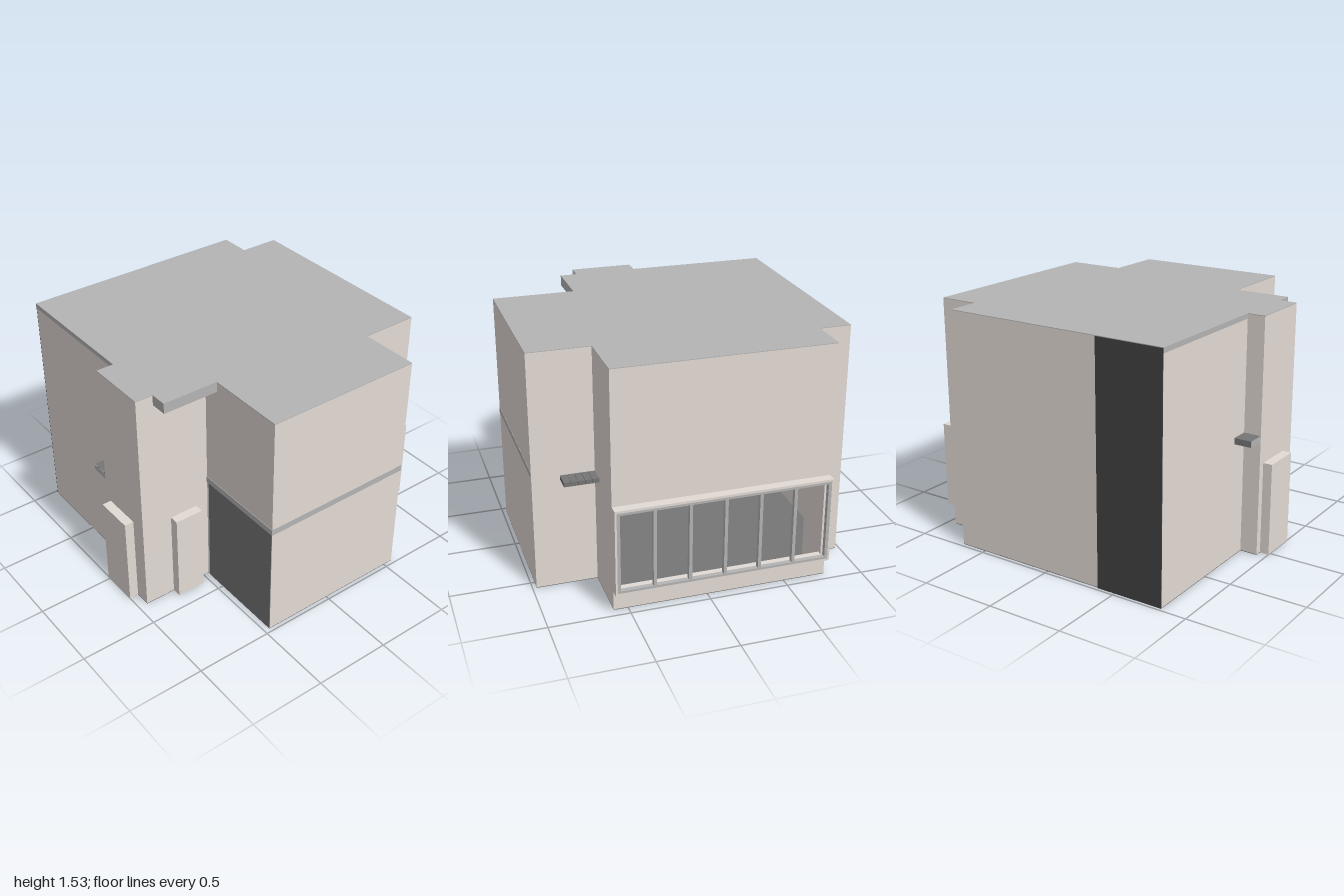
import * as THREE from 'three';

const mat = (color) => new THREE.MeshStandardMaterial({ color });
const H = 1.535, T = 0.03, CAP = 0.004;

// Plan of the house as [x, z], starting at the front corner on the -x side
const plan = [
  [-0.975, 0.825], [-0.065, 0.825], [-0.065, 0.94], [0.34, 0.94], [0.34, 0.46], [0.975, 0.46],
  [0.975, -0.565], [0.59, -0.565], [0.59, -0.94], [-0.77, -0.94], [-0.77, -0.68], [-0.975, -0.68],
];

export function createModel() {
  const house = new THREE.Group();
  house.name = 'house';
  const wall = mat(0xe2dad4), grey = mat(0xb4b4b4), dark = mat(0x767676), black = mat(0x424242);

  const box = (name, m, x0, x1, y0, y1, z0, z1) => {
    const mesh = new THREE.Mesh(new THREE.BoxGeometry(x1 - x0, y1 - y0, z1 - z0), m);
    mesh.position.set((x0 + x1) / 2, (y0 + y1) / 2, (z0 + z1) / 2);
    mesh.name = name;
    house.add(mesh);
  };

  // Horizontal slab following the plan, optionally drawn in a little
  const slab = (name, m, y0, y1, scale = 1) => {
    const shape = new THREE.Shape(plan.map(([x, z]) => new THREE.Vector2(x * scale, -z * scale)));
    const geo = new THREE.ExtrudeGeometry(shape, { depth: y1 - y0, bevelEnabled: false });
    geo.rotateX(-Math.PI / 2);
    const mesh = new THREE.Mesh(geo, m);
    mesh.position.y = y0;
    mesh.name = name;
    house.add(mesh);
  };

  slab('groundFloor', dark, 0, CAP);
  slab('upperFloor', grey, 0.75, 0.79, 0.99);
  slab('roof', grey, H - CAP, H);

  // Outer walls, one per plan edge; the back wall is open behind the bay window
  plan.forEach(([ax, az], i) => {
    const [bx, bz] = plan[(i + 1) % plan.length];
    const len = Math.hypot(bx - ax, bz - az);
    const nx = ((bz - az) / len) * T, nz = (-(bx - ax) / len) * T;
    const xs = [ax, bx, ax + nx, bx + nx], zs = [az, bz, az + nz, bz + nz];
    const spans = i === 8 ? [[CAP, 0.13], [0.69, H - CAP]] : [[CAP, H - CAP]];
    for (const [y0, y1] of spans) {
      box('outerWall', wall, Math.min(...xs), Math.max(...xs), y0, y1, Math.min(...zs), Math.max(...zs));
    }
  });
  box('innerWall', wall, -0.94, 0.33, CAP, H - CAP, 0.365, 0.395);

  // Floor and roof edges showing on the facade
  box('roofEdge', grey, -0.975, -0.065, 1.503, H, 0.8, 0.828);
  box('floorEdgeFront', grey, 0.34, 0.977, 0.75, 0.79, 0.44, 0.463);
  box('floorEdgeSide', grey, 0.95, 0.977, 0.75, 0.79, -0.565, 0.463);
  box('roofOverhang', grey, 0.34, 0.45, 1.467, H, 0.46, 0.825);

  // Garage door and dark side panel
  box('garageDoor', dark, 0.36, 0.973, 0, 0.75, 0.44, 0.463);
  box('sidePanel', black, -0.98, -0.95, 0, H - CAP, 0.38, 0.824);

  // Entrance doors and the small canopy
  box('frontDoor', wall, -0.02, 0.235, 0, 0.602, 0.93, 1.0);
  box('sideDoor', wall, 0.33, 0.4, 0, 0.602, 0.545, 0.735);
  box('entranceCanopy', dark, -0.183, -0.065, 0.75, 0.79, 0.82, 0.938);
  box('canopyFascia', grey, -0.183, -0.065, 0.75, 0.789, 0.938, 0.94);

  // Slatted ledge at the back
  for (let i = 0; i < 5; i++) {
    const x = 0.59 + i * 0.043;
    box('ledgeSlat', dark, x, x + 0.041, 0.717, 0.745, -0.67, -0.565);
  }

  // Bay window: casing, then frame and mullions for six panes
  const x0 = -0.77, x1 = 0.59, zb = -1.0;
  box('bayTop', wall, x0, x1, 0.675, 0.69, zb, -0.91);
  box('baySill', wall, x0, x1, 0.13, 0.145, zb, -0.91);
  box('bayEnd', wall, x0, x0 + 0.012, 0.145, 0.675, zb, -0.91);
  box('bayEnd', wall, x1 - 0.012, x1, 0.145, 0.675, zb, -0.91);
  box('windowRail', grey, x0 + 0.012, x1 - 0.012, 0.66, 0.675, zb, zb + 0.03);
  box('windowRail', grey, x0 + 0.012, x1 - 0.012, 0.145, 0.16, zb, zb + 0.03);
  for (let i = 0; i <= 6; i++) {
    const x = x0 + 0.022 + (i * (x1 - x0 - 0.044)) / 6;
    box('windowMullion', grey, x - 0.01, x + 0.01, 0.16, 0.66, zb + 0.001, zb + 0.03);
  }
  return house;
}
